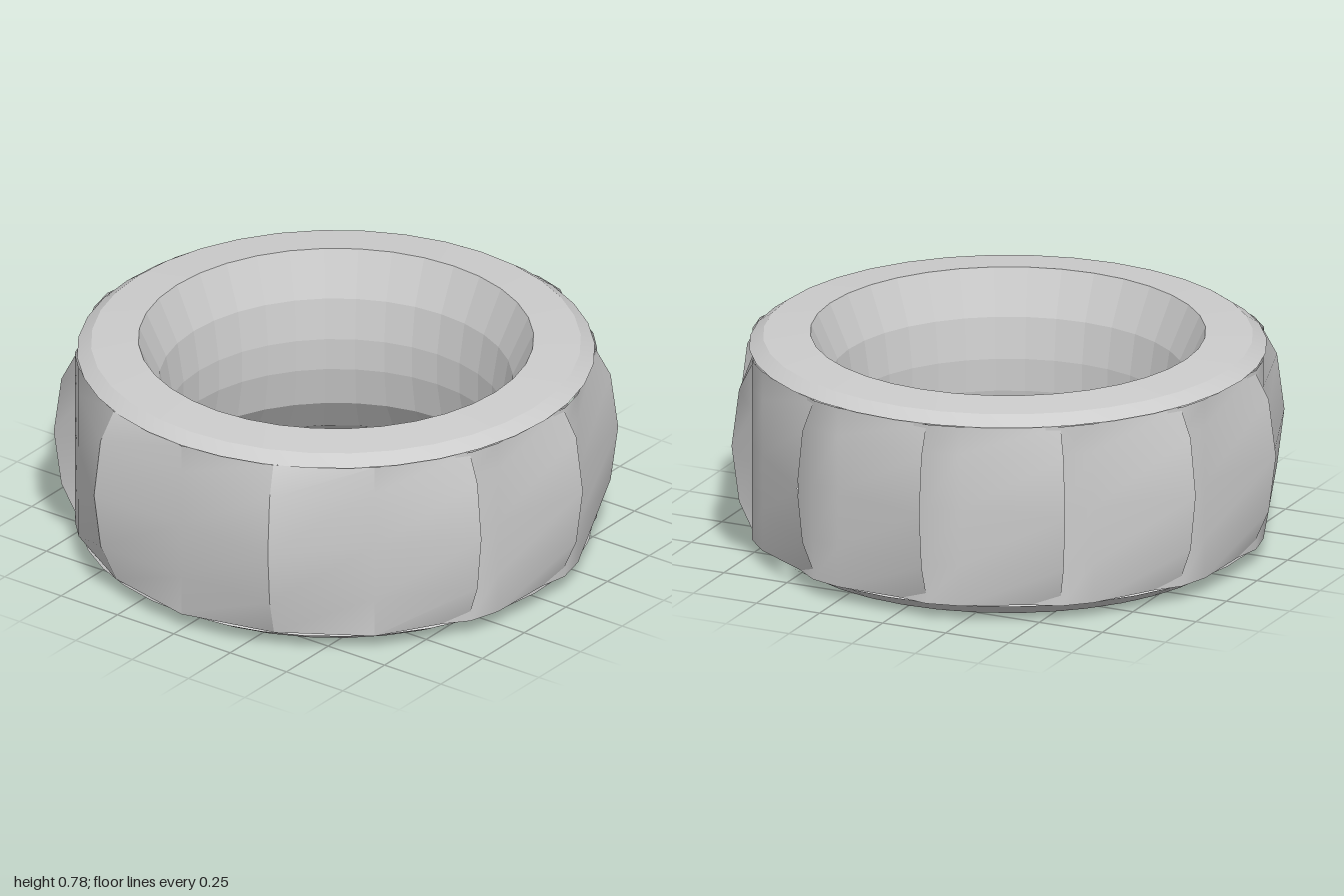
import * as THREE from 'three';
import { toCreasedNormals } from 'three/addons/utils/BufferGeometryUtils.js';

const rad = THREE.MathUtils.degToRad;
const CZ = 0.027; // the ring sits slightly forward of the origin
const material = () => new THREE.MeshStandardMaterial({ color: 0xcccccc, side: THREE.DoubleSide });

// Ring surface turned from [radius, height] points
function turned(name, points, start = 0, sweep = 360) {
  const pts = points.map(([r, y]) => new THREE.Vector2(r, y));
  const geo = new THREE.LatheGeometry(pts, 36, rad(start), rad(sweep));
  const mesh = new THREE.Mesh(toCreasedNormals(geo, rad(8)), material());
  mesh.name = name;
  return mesh;
}

// Height and radius along the bowed corner edge of each panel
const barrel = [[0.06, 0.915], [0.21, 0.98], [0.42, 1.007], [0.63, 0.98], [0.735, 0.925]];

// Panel lofted from a bowed corner to a straight tangent line, then on to its far end:
// a second bowed corner when wide, otherwise a flap tucked under its neighbour
function gripPanel(name, from, wide) {
  const columns = [
    [from, (r) => r],
    [from + 22.5, () => 0.928],
    ...(wide
      ? [[from + 45, (r) => r]]
      : [[from + 30, () => 0.932], [from + 38, () => 0.9]]),
  ];
  const pos = [], idx = [], rows = barrel.length;
  for (const [deg, radius] of columns) {
    for (const [y, r] of barrel) {
      pos.push(radius(r) * Math.sin(rad(deg)), y, -radius(r) * Math.cos(rad(deg)));
    }
  }
  for (let c = 0; c < columns.length - 1; c++) {
    for (let k = 0; k < rows - 1; k++) {
      const a = c * rows + k, b = a + rows;
      idx.push(a, a + 1, b, b, a + 1, b + 1);
    }
  }
  const geo = new THREE.BufferGeometry();
  geo.setAttribute('position', new THREE.Float32BufferAttribute(pos, 3));
  geo.setIndex(idx);
  const mesh = new THREE.Mesh(toCreasedNormals(geo, rad(30)), material());
  mesh.name = name;
  return mesh;
}

export function createModel() {
  const group = new THREE.Group();
  group.name = 'ring';

  // Top rim, waisted bore and lower inner bevel
  const body = turned('rimAndBore', [
    [0.925, 0.735], [0.875, 0.77], [0.706, 0.783],
    [0.632, 0.62], [0.607, 0.47], [0.607, 0.35],
    [0.635, 0.2], [0.734, 0.06], [0.815, 0],
  ]);

  // Bottom outer chamfer, with a small notch at the back
  const chamfer = turned('bottomChamfer', [[0.815, 0], [0.918, 0.06]], 149, 346);

  // Eleven panels; the two wide ones face the front
  const panels = new THREE.Group();
  panels.name = 'gripPanels';
  let angle = 22.5;
  for (let i = 0; i < 11; i++) {
    const wide = i === 3 || i === 4;
    panels.add(gripPanel('gripPanel' + (i + 1), angle, wide));
    angle += wide ? 45 : 30;
  }

  for (const part of [body, chamfer, panels]) {
    part.position.z = CZ;
    group.add(part);
  }
  return group;
}
